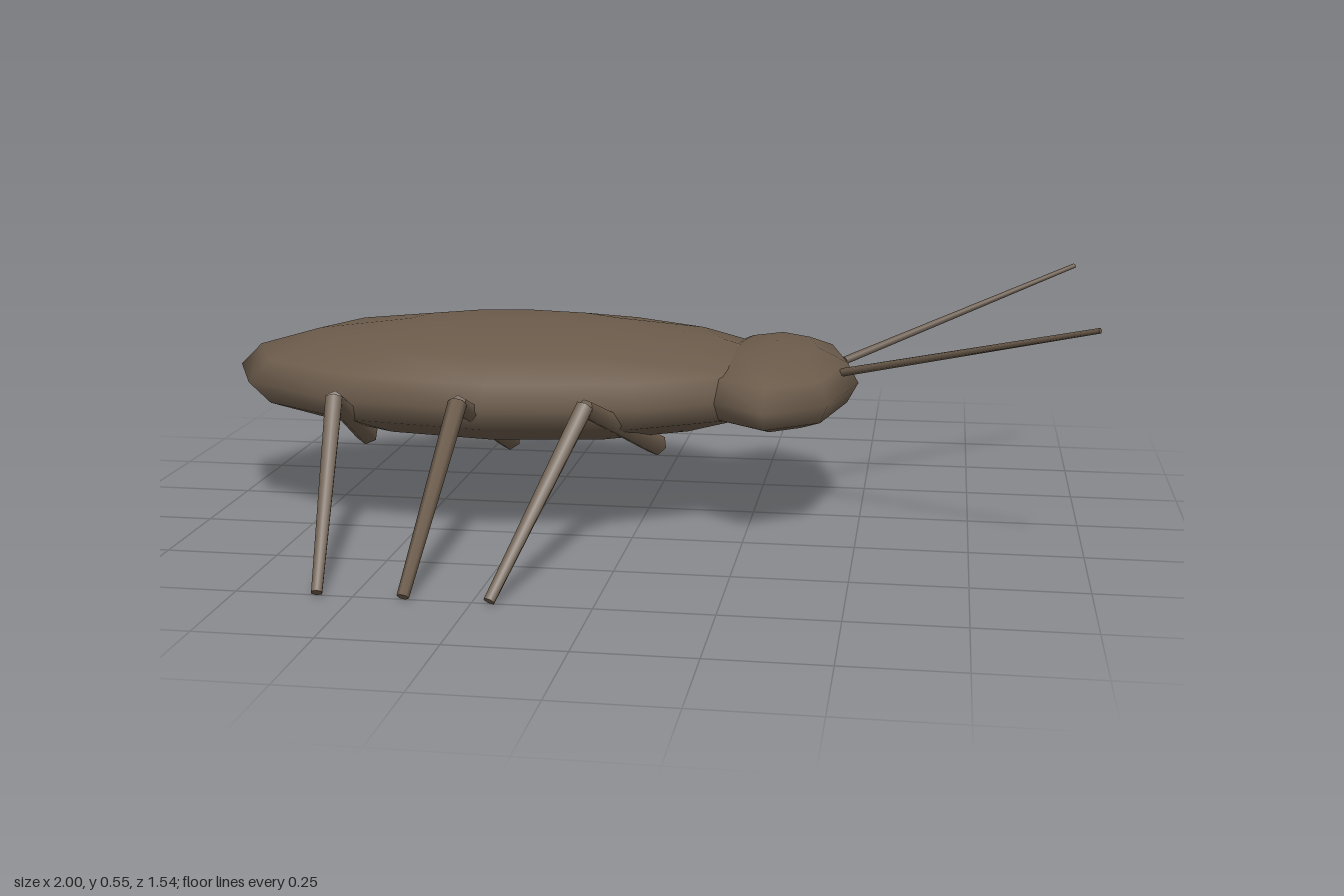
import * as THREE from 'three';

export function createModel() {
  const model = new THREE.Group();
  model.name = 'beetle';
  const shell = new THREE.MeshStandardMaterial({ name: 'brown shell', color: 0x6b5b4b });

  const add = (name, geometry) => {
    const mesh = new THREE.Mesh(geometry, shell);
    mesh.name = name;
    model.add(mesh);
    return mesh;
  };

  // Flattened low-poly ellipsoid with smooth normals
  const ellipsoid = (name, x, radii, around, rings) => {
    const mesh = add(name, new THREE.SphereGeometry(1, around, rings));
    mesh.scale.set(...radii);
    mesh.position.set(x, 0.322, 0);
  };

  // Tapered rod between two points
  const rod = (name, from, to, r0, r1, sides) => {
    const a = new THREE.Vector3(...from);
    const dir = new THREE.Vector3(...to).sub(a);
    const mesh = add(name, new THREE.CylinderGeometry(r1, r0, dir.length(), sides));
    mesh.position.copy(a).addScaledVector(dir, 0.5);
    mesh.quaternion.setFromUnitVectors(new THREE.Vector3(0, 1, 0), dir.normalize());
  };

  // Body and head
  ellipsoid('body', -0.31, [0.69, 0.133, 0.41], 12, 8);
  ellipsoid('head', 0.3, [0.19, 0.094, 0.355], 8, 6);

  // Hip, knee and foot x for the rear, middle and front legs
  const legs = [
    ['rear', -0.655, -0.62, -0.573],
    ['middle', -0.31, -0.345, -0.391],
    ['front', 0.035, -0.068, -0.211],
  ];
  for (const [side, s] of [['Left', 1], ['Right', -1]]) {
    for (const [leg, hip, knee, foot] of legs) {
      rod(`${leg}${side}Thigh`, [hip, 0.187, 0.115 * s], [knee, 0.347, 0.46 * s], 0.026, 0.02, 6);
      rod(`${leg}${side}Shin`, [knee, 0.35, 0.46 * s], [foot, 0.01, 0.76 * s], 0.021, 0.013, 6);
    }
    // Antennae
    rod(`antenna${side}`, [0.455, 0.36, 0.068 * s], [0.995, 0.541, 0.437 * s], 0.01, 0.006, 5);
  }
  return model;
}
